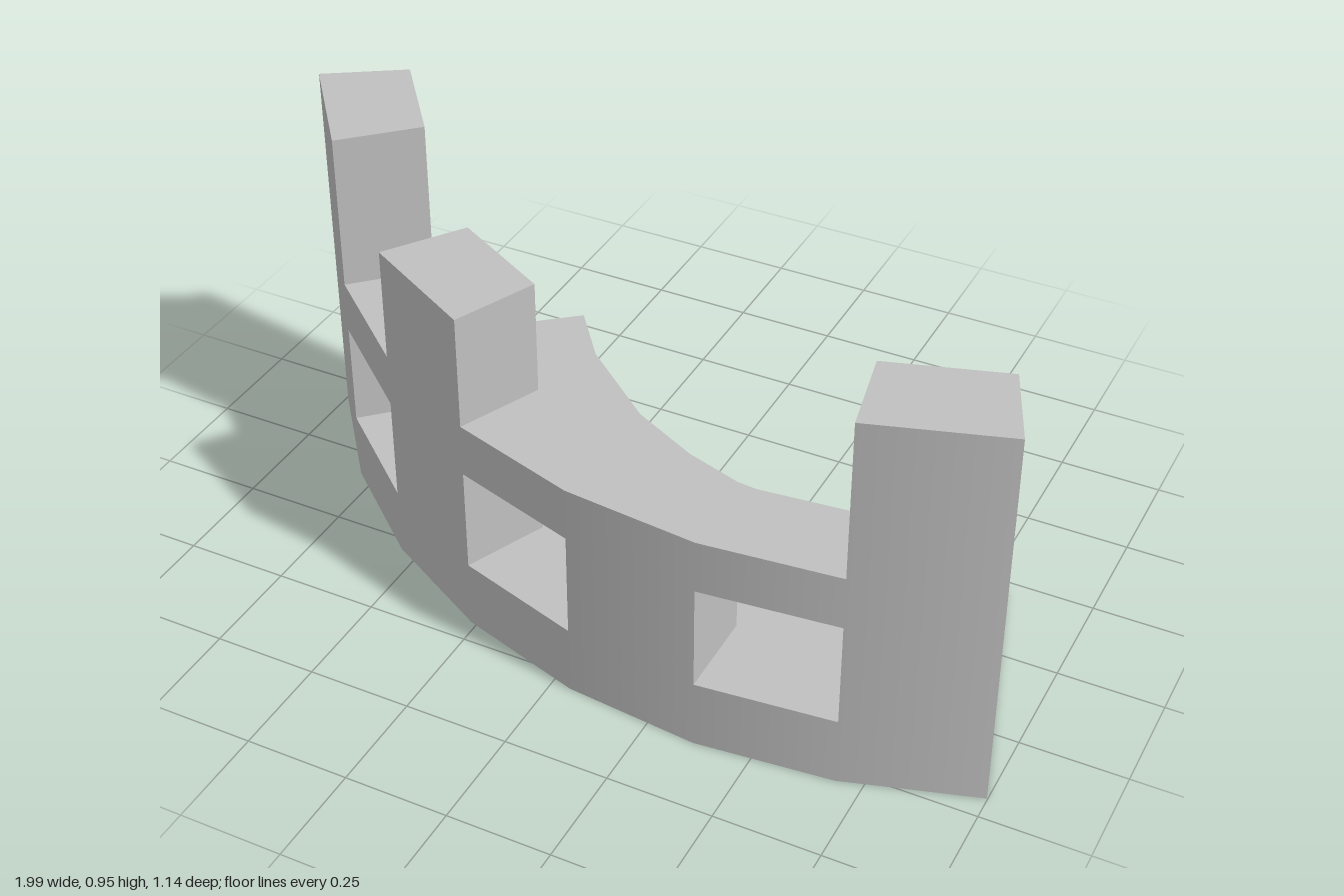
import * as THREE from 'three';

// The wall follows an arc, split into seven equal bays (stations 0..7, left of frame to right)
const CX = 0.367, CZ = -1.045, OUTER = 1.615, INNER = 1.4;
const STEP = THREE.MathUtils.degToRad(11.5);
const arcPoint = (r, i) => [CX + r * Math.sin((i - 5) * STEP), CZ + r * Math.cos((i - 5) * STEP)];

function arcPoints(r, from, to) {
  const pts = [];
  for (let i = from; i <= to; i++) pts.push(arcPoint(r, i));
  return pts;
}

// Upright prism over an [x, z] outline; curved wall faces get smooth radial normals
function prism(outline, y0, y1) {
  const shape = new THREE.Shape(outline.map(([x, z]) => new THREE.Vector2(x, -z)));
  const geo = new THREE.ExtrudeGeometry(shape, { depth: y1 - y0, bevelEnabled: false });
  geo.rotateX(-Math.PI / 2).translate(0, y0, 0);
  const p = geo.attributes.position, n = geo.attributes.normal;
  for (let i = 0; i < p.count; i++) {
    const dx = p.getX(i) - CX, dz = p.getZ(i) - CZ, r = Math.hypot(dx, dz);
    const dot = (n.getX(i) * dx + n.getZ(i) * dz) / r;
    if (r > 1.3 && Math.abs(dot) > 0.985) {
      const s = Math.sign(dot) / r;
      n.setXYZ(i, dx * s, 0, dz * s);
    }
  }
  return geo;
}

const wallOutline = (from, to) =>
  [...arcPoints(OUTER, from, to), ...arcPoints(INNER, from, to).reverse()];

export function createModel() {
  const group = new THREE.Group();
  const stone = new THREE.MeshStandardMaterial({ color: 0xc0c0c0 });
  stone.name = 'grey stone';

  const add = (name, geo) => {
    const mesh = new THREE.Mesh(geo, stone);
    mesh.name = name;
    group.add(mesh);
  };

  // Floor slab with its faceted inner edge and small notch
  const innerEdge = [
    [0.8, -0.21], [0.55, -0.135], [0.31, -0.108], [0.3, -0.098], [0.15, -0.112],
    [0, -0.16], [-0.18, -0.25], [-0.4, -0.43], [-0.51, -0.572],
  ];
  add('floor', prism([...arcPoints(OUTER, 0, 7), ...innerEdge], 0, 0.17));

  // Piers between the openings, and the rail above them
  for (const bay of [0, 2, 4, 6]) add('pier', prism(wallOutline(bay, bay + 1), 0.17, 0.43));
  add('rail', prism(wallOutline(0, 7), 0.43, 0.56));

  // Merlons rising above the rail
  for (const [bay, top] of [[0, 0.95], [2, 0.84], [6, 0.95]]) {
    add('merlon', prism(wallOutline(bay, bay + 1), 0.56, top));
  }
  return group;
}
